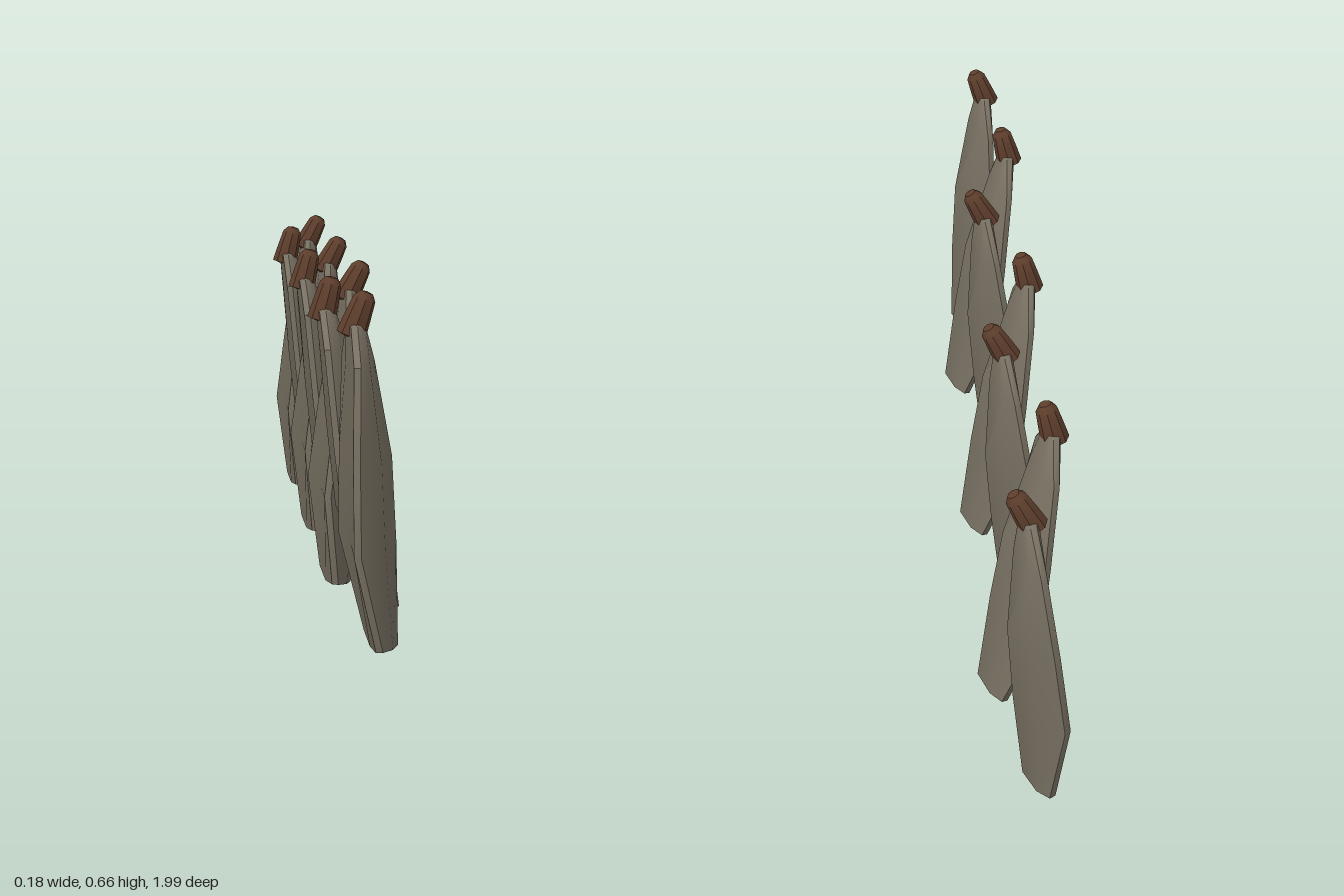
import * as THREE from 'three';
import { toCreasedNormals } from 'three/addons/utils/BufferGeometryUtils.js';

const PIVOT = 0.3;

// Husk cross-sections: height, half width, rim x, bulge x, back x, rim lift
const SECTIONS = [
  [0.005, 0.1, -0.012, 0.04, -0.012, 0.012],
  [0.2, 0.137, -0.045, 0.048, -0.036, 0],
  [0.36, 0.124, -0.036, 0.049, -0.03, 0],
  [0.54, 0.106, -0.022, 0.027, -0.026, 0],
  [0.605, 0.034, -0.016, 0.014, -0.022, 0],
];

// Flat-backed husk with a narrow rim and a rounded +x face
function huskGeometry() {
  const points = [], index = [], n = 8;
  for (const [y, w, rim, front, back, lift] of SECTIONS) {
    const shoulder = rim + 0.65 * (front - rim);
    const ring = [
      [1, rim + 0.012], [0.7, shoulder], [0, front], [-0.7, shoulder],
      [-1, rim + 0.012], [-0.93, rim], [0, back], [0.93, rim],
    ];
    for (const [k, x] of ring) points.push(x, y + lift * Math.abs(k) - PIVOT, k * w);
  }
  for (let i = 0; i < SECTIONS.length - 1; i++) {
    for (let j = 0; j < n; j++) {
      const a = i * n + j, b = i * n + (j + 1) % n;
      index.push(a, b, b + n, a, b + n, a + n);
    }
  }
  // Bottom and top caps
  const low = points.length / 3, high = low + 1, top = (SECTIONS.length - 1) * n;
  points.push(0.012, 0.004 - PIVOT, 0, 0, 0.615 - PIVOT, 0);
  for (let j = 0; j < n; j++) {
    const k = (j + 1) % n;
    index.push(low, k, j, high, top + j, top + k);
  }
  const g = new THREE.BufferGeometry();
  g.setAttribute('position', new THREE.Float32BufferAttribute(points, 3));
  g.setIndex(index);
  return toCreasedNormals(g, 0.65);
}

// Short blunt stalk, slanted towards +x
function stalkGeometry() {
  const profile = [[0, -0.005], [0.028, 0], [0.025, 0.035], [0.021, 0.072], [0.012, 0.084], [0, 0.086]];
  const g = new THREE.LatheGeometry(profile.map(([r, y]) => new THREE.Vector2(r, y)), 8);
  g.rotateZ(-0.42);
  g.translate(-0.014, 0.586 - PIVOT, 0);
  return toCreasedNormals(g, 0.7);
}

export function createModel() {
  const huskMaterial = new THREE.MeshStandardMaterial({ color: 0x776f61 });
  huskMaterial.name = 'greyBrownHusk';
  const stalkMaterial = new THREE.MeshStandardMaterial({ color: 0x5e3e2c });
  stalkMaterial.name = 'brownStalk';
  const husk = huskGeometry(), stalk = stalkGeometry();

  const model = new THREE.Group();
  model.name = 'huskRow';

  // Seven husks in a row: z, lean, turn
  const row = [
    [0.86, 0.06, 0.03], [0.57, 0.17, -0.02], [0.28, -0.07, 0.06], [0, 0.17, 0],
    [-0.28, -0.07, 0.06], [-0.57, 0.17, 0], [-0.862, -0.06, 0.05],
  ];
  row.forEach(([z, lean, turn], i) => {
    const unit = new THREE.Group();
    unit.name = `hangingHusk${i + 1}`;
    const body = new THREE.Mesh(husk, huskMaterial);
    body.name = 'husk';
    const stem = new THREE.Mesh(stalk, stalkMaterial);
    stem.name = 'stalk';
    unit.add(body, stem);
    unit.position.set(0, PIVOT, z);
    unit.rotation.set(0, turn, lean);
    model.add(unit);
  });
  return model;
}
